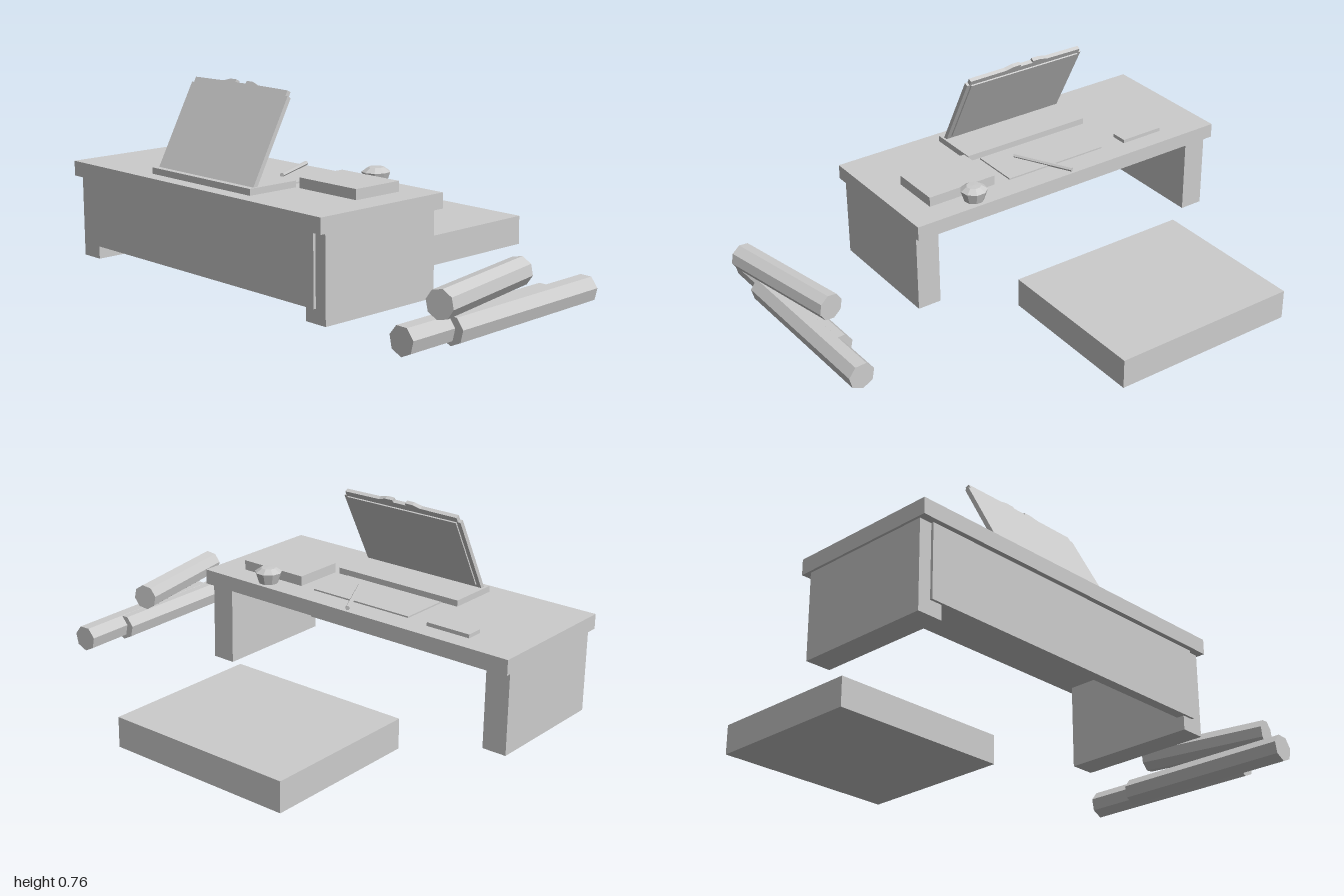
import * as THREE from 'three';

export function createModel() {
  const root = new THREE.Group();
  const grey = new THREE.MeshStandardMaterial({ color: 0xcccccc });
  grey.name = 'light grey';
  grey.flatShading = true;

  const add = (name, geometry, parent = root) => {
    const mesh = new THREE.Mesh(geometry, grey);
    mesh.name = name;
    parent.add(mesh);
    return mesh;
  };

  // Box given by its limits along each axis
  const box = (name, x0, x1, y0, y1, z0, z1, parent) => {
    const mesh = add(name, new THREE.BoxGeometry(x1 - x0, y1 - y0, z1 - z0), parent);
    mesh.position.set((x0 + x1) / 2, (y0 + y1) / 2, (z0 + z1) / 2);
    return mesh;
  };

  // Cylinder running between two points
  const rod = (name, from, to, radius, sides) => {
    const a = new THREE.Vector3(...from), b = new THREE.Vector3(...to);
    const dir = b.clone().sub(a);
    const mesh = add(name, new THREE.CylinderGeometry(radius, radius, dir.length(), sides));
    mesh.position.copy(a).add(b).multiplyScalar(0.5);
    mesh.quaternion.setFromUnitVectors(new THREE.Vector3(0, 1, 0), dir.normalize());
    return mesh;
  };

  // Low desk
  box('deskTop', -1, 0.46, 0.33, 0.39, 0.09, 0.69);
  box('rightLeg', -0.99, -0.89, 0, 0.33, 0.125, 0.66);
  box('leftLeg', 0.35, 0.45, 0, 0.33, 0.125, 0.66);
  box('frontPanel', -0.94, 0.4, 0.055, 0.33, 0.63, 0.67);

  // Floor cushion
  box('cushion', -0.66, 0.12, 0, 0.12, -0.74, -0.08);

  // Laptop with a lid leaning over its base
  box('laptopBase', -0.56, 0.02, 0.39, 0.415, 0.41, 0.63);
  const lid = new THREE.Group();
  lid.name = 'laptopLid';
  lid.position.set(-0.27, 0.415, 0.605);
  lid.rotation.x = -0.49;
  root.add(lid);
  const half = [[0.28, 0], [0.28, 0.356], [0.268, 0.356], [0.268, 0.378],
    [0.1, 0.38], [0.065, 0.391], [0.03, 0.391], [0.03, 0.38]];
  const outline = [...half, ...half.map(([x, y]) => [-x, y]).reverse()];
  const shape = new THREE.Shape(outline.map(([x, y]) => new THREE.Vector2(x, y)));
  const shell = add('lidShell', new THREE.ExtrudeGeometry(shape, { depth: 0.017, bevelEnabled: false }), lid);
  shell.position.z = -0.017;
  box('screen', -0.262, 0.262, 0.025, 0.355, -0.023, -0.017, lid);

  // Things lying on the desk
  box('phone', -0.78, -0.59, 0.39, 0.405, 0.17, 0.24);
  box('book', 0.04, 0.34, 0.39, 0.43, 0.195, 0.41);
  box('paper', -0.49, -0.03, 0.39, 0.396, 0.19, 0.4);
  rod('pen', [-0.27, 0.401, 0.1], [-0.15, 0.401, 0.33], 0.009, 6);

  // Small faceted pot with a domed lid
  const profile = [[0, 0], [0.04, 0], [0.055, 0.045], [0.03, 0.062], [0, 0.063]];
  const pot = add('pot', new THREE.LatheGeometry(profile.map(([x, y]) => new THREE.Vector2(x, y)), 9));
  pot.position.set(0.17, 0.39, 0.145);

  // Stacked firewood
  rod('rearLog', [0.892, 0.06, -0.2], [0.912, 0.06, 0.53], 0.054, 7);
  rod('frontLog', [0.867, 0.06, 0], [0.882, 0.06, 0.73], 0.054, 7);
  rod('topLog', [0.84, 0.172, 0.105], [0.945, 0.172, 0.62], 0.054, 8);

  return root;
}
